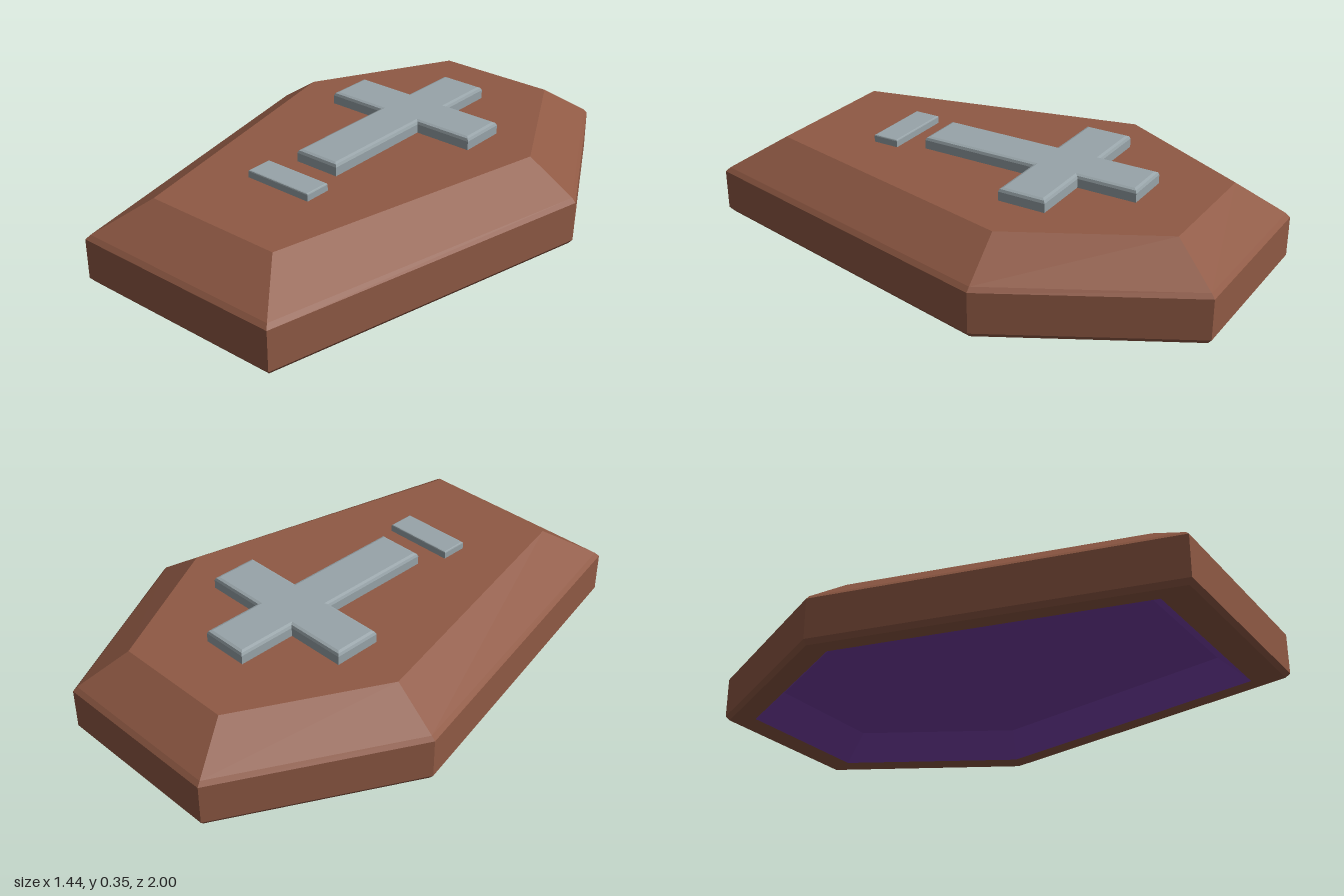
import * as THREE from 'three';

const wood = new THREE.MeshStandardMaterial({ color: 0x8f5944 });
const lining = new THREE.MeshStandardMaterial({ color: 0x7640a6 });
const metal = new THREE.MeshStandardMaterial({ color: 0x98a4a9 });

// Six-sided ring mirrored in x: head, shoulder and foot corners at one height
function ring(y, head, shoulder, foot) {
  const half = [head, shoulder, foot];
  const left = half.map(([x, z]) => new THREE.Vector3(x, y, z));
  const right = half.map(([x, z]) => new THREE.Vector3(-x, y, z)).reverse();
  return [...left, ...right];
}

// Flat-faced skin over successive rings, closed by a cap on the last one
function loft(rings, inward = false) {
  const pts = [];
  const tri = (a, b, c) => pts.push(...(inward ? [a, c, b] : [a, b, c]));
  for (let k = 0; k < rings.length - 1; k++) {
    const lo = rings[k], up = rings[k + 1];
    for (let i = 0; i < 6; i++) {
      const j = (i + 1) % 6;
      tri(lo[i], up[i], lo[j]);
      tri(lo[j], up[i], up[j]);
    }
  }
  const cap = rings[rings.length - 1];
  for (let i = 1; i < 5; i++) tri(cap[0], cap[i + 1], cap[i]);
  const geo = new THREE.BufferGeometry().setFromPoints(pts);
  geo.computeVertexNormals();
  return geo;
}

// Bevelled plate lying flat, from an outline in (x, z)
function plate(outline, bottom, top, bevel) {
  const shape = new THREE.Shape(outline.map(([x, z]) => new THREE.Vector2(x, -z)));
  const geo = new THREE.ExtrudeGeometry(shape, {
    depth: top - bottom - 2 * bevel, bevelEnabled: true,
    bevelThickness: bevel, bevelSize: bevel, bevelOffset: -bevel, bevelSegments: 2,
  });
  geo.rotateX(-Math.PI / 2);
  geo.translate(0, bottom + bevel, 0);
  return geo;
}

export function createModel() {
  const group = new THREE.Group();
  const add = (name, geo, mat) => {
    const mesh = new THREE.Mesh(geo, mat);
    mesh.name = name;
    group.add(mesh);
  };

  // Outer shell: underside rim, eased wall, sloping lid and flat top
  const opening = ring(0, [0.29, -0.89], [0.63, -0.27], [0.38, 0.87]);
  const outer = (y) => ring(y, [0.34, -1], [0.72, -0.3], [0.43, 1]);
  const eased = (y) => ring(y, [0.333, -0.985], [0.705, -0.3], [0.418, 0.985]);
  add('coffinShell', loft([
    opening, eased(0), outer(0.018), outer(0.172), eased(0.188),
    ring(0.306, [0.24, -0.82], [0.53, -0.28], [0.28, 0.81]),
  ]), wood);

  // Hollow underside
  add('lining', loft([
    opening, ring(0.1, [0.253, -0.785], [0.555, -0.238], [0.335, 0.766]),
  ], true), lining);

  // Cross on the lid
  const w = 0.092, arm = 0.325, z0 = -0.59, z1 = -0.36, z2 = -0.175, z3 = 0.29;
  add('cross', plate([
    [-w, z3], [w, z3], [w, z2], [arm, z2], [arm, z1], [w, z1],
    [w, z0], [-w, z0], [-w, z1], [-arm, z1], [-arm, z2], [-w, z2],
  ], 0.285, 0.354, 0.014), metal);

  // Small name plate
  add('namePlate', plate([
    [-0.14, 0.492], [0.14, 0.492], [0.14, 0.388], [-0.14, 0.388],
  ], 0.295, 0.335, 0.005), metal);

  return group;
}
